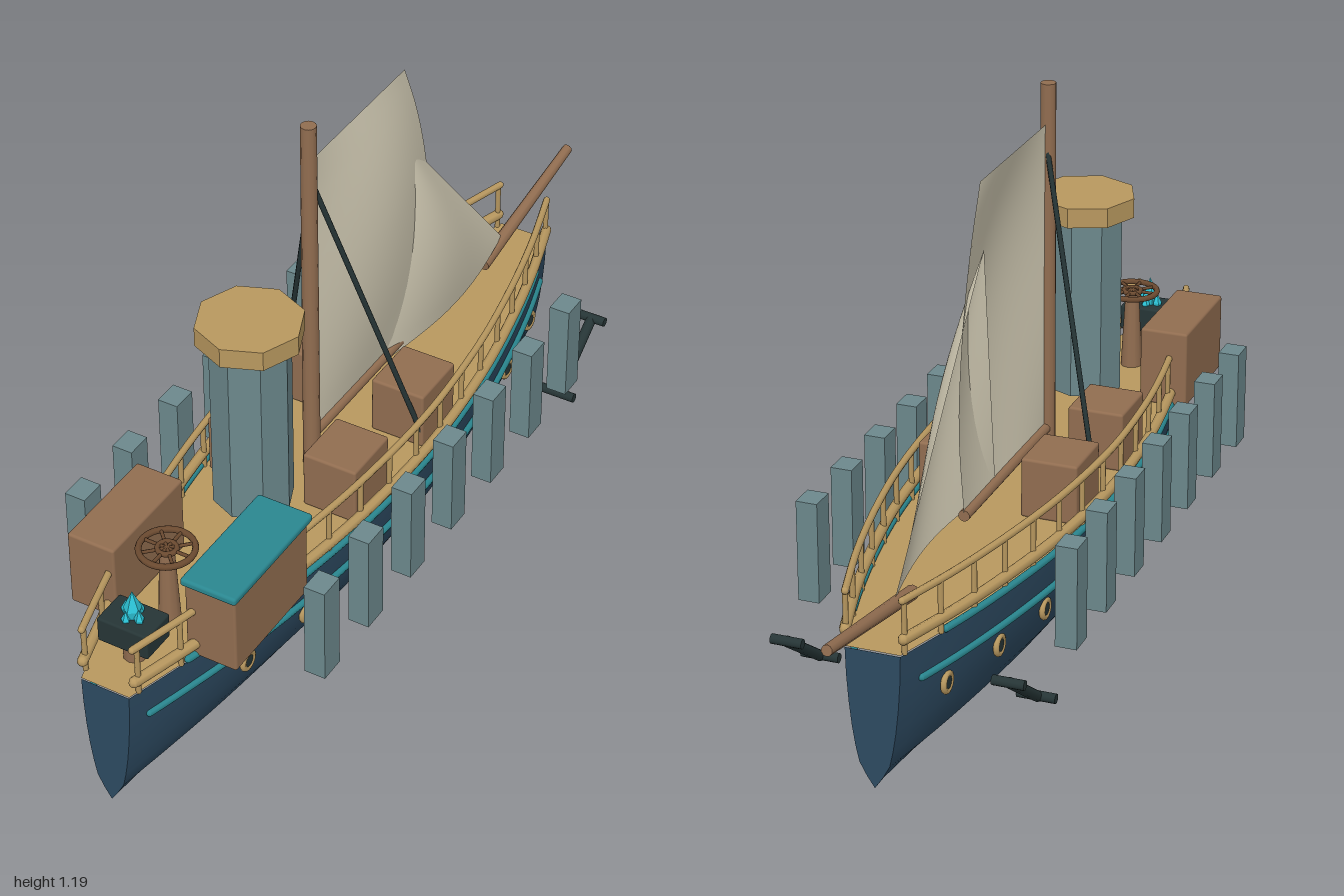
import * as THREE from 'three';
import { toCreasedNormals } from 'three/addons/utils/BufferGeometryUtils.js';
import { RoundedBoxGeometry } from 'three/addons/geometries/RoundedBoxGeometry.js';

const V = (x, y, z) => new THREE.Vector3(x, y, z);

export function createModel() {
  const model = new THREE.Group();
  const mat = (name, color, side = THREE.FrontSide) => {
    const m = new THREE.MeshStandardMaterial({ color, side });
    m.name = name;
    return m;
  };
  const navy = mat('navy hull', 0x2d4a61);
  const tan = mat('tan wood', 0xb8985f);
  const brown = mat('brown wood', 0x916d50);
  const darkWood = mat('dark wood', 0x6b4a30);
  const teal = mat('teal trim', 0x2a8790);
  const cyan = mat('cyan crystal', 0x2cc3d6);
  const slate = mat('slate', 0x6c888c);
  const iron = mat('dark iron', 0x263536);
  const canvas = mat('canvas', 0xd3ccb5, THREE.DoubleSide);

  const add = (name, geo, material, x = 0, y = 0, z = 0, parent = model) => {
    const m = new THREE.Mesh(geo, material);
    m.name = name;
    m.position.set(x, y, z);
    parent.add(m);
    return m;
  };
  const box = (name, material, x0, x1, y0, y1, z0, z1, r = 0) => {
    const s = [x1 - x0, y1 - y0, z1 - z0];
    const geo = r ? new RoundedBoxGeometry(...s, 2, r) : new THREE.BoxGeometry(...s);
    return add(name, geo, material, (x0 + x1) / 2, (y0 + y1) / 2, (z0 + z1) / 2);
  };
  // round bar between two points
  const bar = (name, material, a, b, r, r2 = r, sides = 10) => {
    const d = b.clone().sub(a);
    const m = add(name, new THREE.CylinderGeometry(r2, r, d.length(), sides), material);
    m.position.copy(a).add(b).multiplyScalar(0.5);
    m.quaternion.setFromUnitVectors(V(0, 1, 0), d.normalize());
    return m;
  };
  // grid surface from a point function
  const surface = (nu, nv, f) => {
    const pos = [], index = [];
    for (let i = 0; i <= nu; i++) {
      for (let j = 0; j <= nv; j++) {
        pos.push(...f(i / nu, j / nv));
        if (i < nu && j < nv) {
          const a = i * (nv + 1) + j, b = a + nv + 1;
          index.push(a, b, a + 1, b, b + 1, a + 1);
        }
      }
    }
    const g = new THREE.BufferGeometry();
    g.setAttribute('position', new THREE.Float32BufferAttribute(pos, 3));
    g.setIndex(index);
    g.computeVertexNormals();
    return g;
  };

  // hull outline from above: half width by z
  const Z0 = -0.785, Z1 = 1;
  const plan = [[-0.785, 0.06], [-0.6, 0.115], [-0.4, 0.16], [-0.2, 0.192], [0.05, 0.21],
    [0.3, 0.2], [0.5, 0.175], [0.7, 0.138], [0.85, 0.1], [1, 0.057]];
  const half = (z) => {
    let i = 0;
    while (i < plan.length - 2 && z > plan[i + 1][0]) i++;
    const slope = (k) => {
      const a = plan[Math.max(k - 1, 0)], b = plan[Math.min(k + 1, plan.length - 1)];
      return (b[1] - a[1]) / (b[0] - a[0]);
    };
    const [za, wa] = plan[i], [zb, wb] = plan[i + 1], h = zb - za, t = (z - za) / h;
    return (1 - t) ** 2 * ((1 + 2 * t) * wa + t * h * slope(i)) +
      t * t * ((3 - 2 * t) * wb - (1 - t) * h * slope(i + 1));
  };
  // hull cross-section: share of half width, height
  const side = [[1, 0.31], [0.97, 0.25], [0.9, 0.19], [0.8, 0.135], [0.68, 0.09], [0.55, 0.055], [0.28, 0.025]];
  const section = [...side, [0, 0], ...side.map(([x, y]) => [-x, y]).reverse()];
  const zAt = (t) => Z0 + (Z1 - Z0) * t;
  const n = section.length - 1;
  const hullGeo = surface(40, n, (u, v) => {
    const [x, y] = section[Math.round(v * n)];
    return [x * half(zAt(u)), y, zAt(u)];
  });
  add('hull', toCreasedNormals(hullGeo, 0.6), navy);
  for (const z of [Z0, Z1]) {
    const s = z > 0 ? 1 : -1;
    const shape = new THREE.Shape(section.map(([x, y]) => new THREE.Vector2(x * half(z), y)));
    add('hullEnd', new THREE.ShapeGeometry(shape), navy, 0, 0, z).rotation.y = s > 0 ? 0 : Math.PI;
  }
  add('deck', surface(40, 2, (u, v) => [(2 * v - 1) * half(zAt(u)), 0.313, zAt(u)]), tan);

  // rails and trim that follow the hull outline
  const follow = (name, material, s, share, y, r, za, zb) => {
    const pts = [];
    for (let i = 0; i <= 24; i++) {
      const z = za + (zb - za) * i / 24;
      pts.push(V(s * half(z) * share, y, z));
    }
    add(name, new THREE.TubeGeometry(new THREE.CatmullRomCurve3(pts), 48, r, 8), material);
    for (const p of [pts[0], pts[24]]) add(name + 'End', new THREE.SphereGeometry(r, 8, 6), material, p.x, p.y, p.z);
  };
  for (const s of [-1, 1]) {
    follow('lowerRail', tan, s, 1, 0.345, 0.012, -0.775, 0.985);
    follow('upperRail', tan, s, 0.97, 0.43, 0.008, -0.775, 0.985);
    follow('upperTrim', teal, s, 1.01, 0.316, 0.008, -0.65, 0.85);
    follow('lowerTrim', teal, s, 0.98, 0.236, 0.008, -0.72, 0.95);
    for (let i = 0; i < 17; i++) {
      const z = -0.77 + i * 0.109, x = s * half(z) * 0.98;
      bar('railPost', tan, V(x, 0.31, z), V(x, 0.43, z), 0.006, 0.006, 6);
    }
    // portholes
    for (let i = 0; i < 8; i++) {
      const z = 0.675 - 0.187 * i, x = s * (half(z) * 0.9 + 0.002);
      add('portholeRing', new THREE.TorusGeometry(0.019, 0.007, 8, 18), tan, x, 0.185, z).rotation.y = Math.PI / 2;
      add('portholeGlass', new THREE.CylinderGeometry(0.017, 0.017, 0.009, 14), iron, x, 0.185, z).rotation.z = Math.PI / 2;
    }
    // side blocks
    for (let i = 0; i < 7; i++) {
      const z = 0.638 - 0.178 * i;
      box('sideBlock', slate, s * 0.288 - 0.024, s * 0.288 + 0.024, 0.212, 0.442, z - 0.03, z + 0.03);
    }
    // anchors
    bar('anchorShank', iron, V(s * 0.244, 0.115, -0.505), V(s * 0.244, 0.228, -0.665), 0.012);
    bar('anchorCrown', iron, V(s * 0.2, 0.117, -0.505), V(s * 0.285, 0.117, -0.505), 0.011);
    bar('anchorStock', iron, V(s * 0.208, 0.228, -0.665), V(s * 0.278, 0.228, -0.665), 0.011);
    // deck crates and mast stays
    for (const z of [-0.04, 0.25]) {
      box('deckCrate', brown, s * 0.118 - 0.064, s * 0.118 + 0.064, 0.313, 0.45, z - 0.071, z + 0.071, 0.006);
    }
    bar('mastStay', iron, V(0, 1.05, 0.185), V(s * 0.175, 0.35, 0.025), 0.006, 0.006, 6);
  }

  // cabin, locker
  box('cabin', brown, 0.085, 0.203, 0.313, 0.5, 0.55, 0.83, 0.006);
  box('cabinRoof', teal, 0.08, 0.21, 0.497, 0.516, 0.538, 0.84, 0.007);
  box('cabinDoorPlate', iron, 0.11, 0.175, 0.405, 0.465, 0.527, 0.552);
  box('locker', brown, -0.202, -0.09, 0.313, 0.495, 0.56, 0.82, 0.006);

  // funnel
  const octagon = (name, r, y0, y1, m) => {
    const g = new THREE.CylinderGeometry(r, r, y1 - y0, 8);
    add(name, toCreasedNormals(g, 0.3), m, 0, (y0 + y1) / 2, 0.43);
  };
  octagon('funnel', 0.087, 0.4, 0.817, slate);
  octagon('funnelCap', 0.115, 0.815, 0.86, tan);

  // steering wheel
  bar('wheelPedestal', brown, V(0, 0.313, 0.76), V(0, 0.495, 0.76), 0.025, 0.016);
  const wheel = new THREE.Group();
  wheel.name = 'steeringWheel';
  wheel.position.set(0, 0.5, 0.76);
  wheel.rotation.x = Math.PI / 2;
  model.add(wheel);
  add('wheelRim', new THREE.TorusGeometry(0.058, 0.007, 8, 24), darkWood, 0, 0, 0, wheel);
  add('wheelHub', new THREE.TorusGeometry(0.02, 0.006, 8, 16), darkWood, 0, 0, 0, wheel);
  for (let i = 0; i < 4; i++) {
    add('wheelSpoke', new THREE.CylinderGeometry(0.004, 0.004, 0.116, 6), darkWood, 0, 0, 0, wheel).rotation.z = i * Math.PI / 4;
  }

  // crystal stand
  bar('crystalPost', brown, V(0, 0.313, 0.89), V(0, 0.365, 0.89), 0.025);
  box('crystalBox', iron, -0.06, 0.06, 0.36, 0.42, 0.848, 0.933, 0.005);
  [[0, 0, 0.02, 0.075], [0.02, 0.008, 0.011, 0.04], [-0.02, -0.006, 0.011, 0.04], [0.004, -0.02, 0.01, 0.035], [-0.004, 0.02, 0.01, 0.035]]
    .forEach(([x, z, r, h]) => {
      const profile = [[0, 0], [r * 0.7, 0], [r, h * 0.4], [0, h]].map((p) => new THREE.Vector2(...p));
      add('crystal', toCreasedNormals(new THREE.LatheGeometry(profile, 5), 0.3), cyan, x, 0.41, 0.89 + z);
    });

  // mast, boom, bowsprit
  bar('mast', brown, V(0, 0.313, 0.193), V(0, 1.19, 0.193), 0.019, 0.017, 12);
  bar('boom', brown, V(0, 0.39, 0.18), V(0, 0.39, -0.3), 0.013);
  bar('bowsprit', brown, V(0, 0.345, -0.58), V(0, 0.42, -1), 0.016, 0.012);

  // mainsail: leading edge on the mast, curved free edge
  const edge = new THREE.CatmullRomCurve3([V(0, 0.395, -0.3), V(0, 0.6, -0.325), V(0, 0.81, -0.3), V(0, 0.97, -0.255), V(0, 1.1, -0.2)]);
  add('mainsail', surface(14, 14, (u, v) => {
    const e = edge.getPoint(v), y0 = 0.395 + 0.705 * v;
    return [0.045 * Math.sin(Math.PI * u) * Math.sin(Math.PI * v), y0 + (e.y - y0) * u, 0.18 + (e.z - 0.18) * u];
  }), canvas);
  // jib: triangle from head to foot
  add('jib', surface(14, 14, (u, v) => {
    const foot = V(0, 0.375, -0.12).lerp(V(0, 0.37, -0.67), u);
    const p = foot.lerp(V(0, 0.945, -0.18), v);
    return [0.055 * Math.sin(Math.PI * u) * Math.sin(Math.PI * Math.min(1, v * 0.8 + 0.2)), p.y, p.z];
  }), canvas);

  return model;
}
